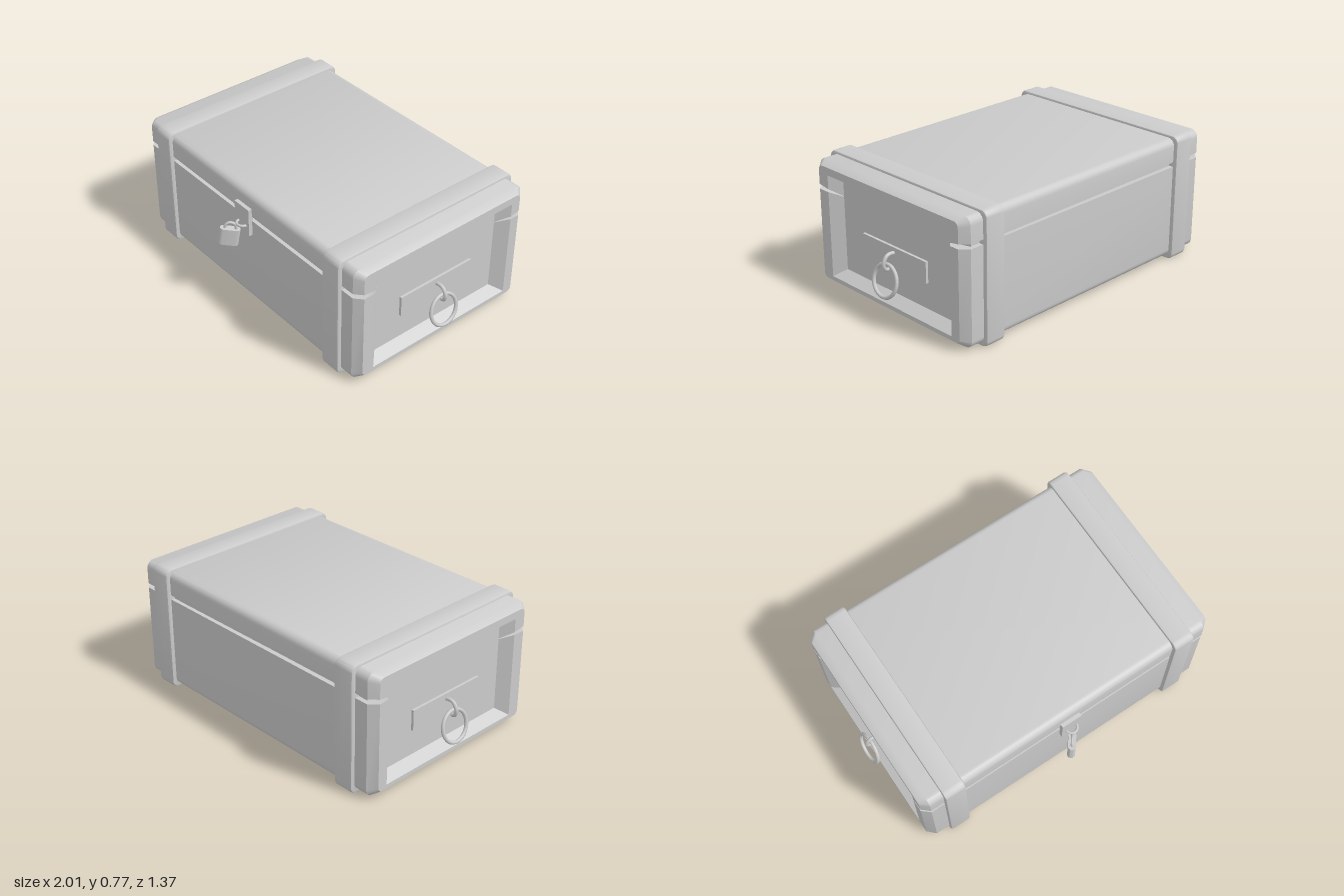
import * as THREE from 'three';
import { toCreasedNormals } from 'three/addons/utils/BufferGeometryUtils.js';

const grey = new THREE.MeshStandardMaterial({ color: 0xcccccc });
const greyTwoSided = new THREE.MeshStandardMaterial({ color: 0xcccccc, side: THREE.DoubleSide });
const ZC = -0.0575; // middle of the chest in z

// Rings of one end, from the recessed panel outwards to the long sides.
// front/back are z limits, low/high are y limits, sill/lidEdge are the seam heights.
const END_RINGS = [
  { x: 0.89, front: 0.37, back: -0.49, low: 0.12, high: 0.65, r: 0, sill: 0.56, lidEdge: 0.563 },
  { x: 0.95, front: 0.43, back: -0.555, low: 0.075, high: 0.685, r: 0, sill: 0.586, lidEdge: 0.604 },
  { x: 0.95, front: 0.505, back: -0.615, low: 0.05, high: 0.73, r: 0.03, sill: 0.586, lidEdge: 0.614 },
  { x: 0.905, front: 0.545, back: -0.66, low: 0.02, high: 0.755, r: 0.045, sill: 0.586, lidEdge: 0.614 },
];
const RINGS = [
  ...END_RINGS.map((s) => ({ ...s, x: -s.x })),
  ...[...END_RINGS].reverse(),
];

function add(parent, name, geometry, x = 0, y = 0, z = 0, material = grey) {
  const mesh = new THREE.Mesh(geometry, material);
  mesh.name = name;
  mesh.position.set(x, y, z);
  parent.add(mesh);
  return mesh;
}

// U-shaped section from the front seam, round the bottom (or top), to the back seam
function section(s, isLid) {
  const steps = 5;
  const seam = isLid ? s.lidEdge : s.sill;
  const edge = isLid ? s.high : s.low;
  const up = isLid ? -1 : 1;
  const points = [[s.front, seam]];
  for (let i = 0; i <= steps; i++) {
    const a = (i / steps) * Math.PI / 2;
    points.push([s.front - s.r * (1 - Math.cos(a)), edge + up * s.r * (1 - Math.sin(a))]);
  }
  for (let i = 0; i <= steps; i++) {
    const a = (i / steps) * Math.PI / 2;
    points.push([s.back + s.r * (1 - Math.sin(a)), edge + up * s.r * (1 - Math.cos(a))]);
  }
  points.push([s.back, seam]);
  return points;
}

// Half of the chest: sections joined along x, closed at the seam
function halfShell(isLid) {
  const positions = [];
  const index = [];
  const sections = RINGS.map((s) => section(s, isLid));
  const n = sections[0].length;
  sections.forEach((points, i) => points.forEach(([z, y]) => positions.push(RINGS[i].x, y, z)));
  const face = (a, b, c) => (isLid ? index.push(a, c, b) : index.push(a, b, c));
  for (let i = 0; i < RINGS.length - 1; i++) {
    for (let j = 0; j < n - 1; j++) {
      const a = i * n + j;
      face(a, a + 1, a + n);
      face(a + 1, a + n + 1, a + n);
    }
  }
  // seam surface, following the outline of the chest from above
  const outline = [
    ...RINGS.map((_, i) => i * n),
    ...RINGS.map((_, i) => i * n + n - 1).reverse(),
  ];
  const flat = outline.map((k) => new THREE.Vector2(positions[k * 3], positions[k * 3 + 2]));
  for (const [a, b, c] of THREE.ShapeUtils.triangulateShape(flat, [])) {
    const p = flat[a], q = flat[b], r = flat[c];
    const turn = (q.x - p.x) * (r.y - p.y) - (q.y - p.y) * (r.x - p.x);
    if (turn < 0) face(outline[a], outline[b], outline[c]);
    else face(outline[a], outline[c], outline[b]);
  }
  const geometry = new THREE.BufferGeometry();
  geometry.setAttribute('position', new THREE.Float32BufferAttribute(positions, 3));
  geometry.setIndex(index);
  return toCreasedNormals(geometry, 0.6);
}

function roundedRect(w, h, r) {
  const s = new THREE.Shape();
  const x = w / 2, y = h / 2;
  s.absarc(x - r, y - r, r, 0, Math.PI / 2);
  s.absarc(-x + r, y - r, r, Math.PI / 2, Math.PI);
  s.absarc(-x + r, -y + r, r, Math.PI, Math.PI * 1.5);
  s.absarc(x - r, -y + r, r, Math.PI * 1.5, Math.PI * 2);
  return s;
}

// Band that runs round the whole chest
function strapGeometry() {
  const bevel = 0.012, width = 0.13;
  const g = new THREE.ExtrudeGeometry(roundedRect(1.255 - 2 * bevel, 0.77 - 2 * bevel, 0.03), {
    depth: width - 2 * bevel, bevelSize: bevel, bevelThickness: bevel, bevelSegments: 2, curveSegments: 5,
  });
  g.translate(0, 0, -(width - 2 * bevel) / 2);
  g.rotateY(Math.PI / 2);
  return toCreasedNormals(g, 0.6);
}

// Plate, hook and hanging ring of one end (built for +x)
function createHandle() {
  const handle = new THREE.Group();
  handle.name = 'handle';
  add(handle, 'handlePlate', new THREE.BoxGeometry(0.02, 0.125, 0.515), 0.895, 0.3375, ZC);
  const hookPath = new THREE.CatmullRomCurve3([
    [0.89, 0.365], [0.935, 0.37], [0.958, 0.36], [0.977, 0.32], [0.965, 0.29], [0.945, 0.285],
  ].map(([x, y]) => new THREE.Vector3(x, y, ZC)));
  add(handle, 'handleHook', new THREE.TubeGeometry(hookPath, 16, 0.011, 8), 0, 0, 0, greyTwoSided);
  const ring = add(handle, 'handleRing', new THREE.TorusGeometry(0.092, 0.011, 8, 28), 0.97, 0.225, ZC);
  ring.rotation.set(0, Math.PI / 2, 0.24, 'ZYX');
  return handle;
}

function createLock() {
  const lock = new THREE.Group();
  lock.name = 'lock';
  add(lock, 'hasp', new THREE.BoxGeometry(0.125, 0.175, 0.03), 0, 0.578, 0.553);
  const staple = add(lock, 'staple', new THREE.TorusGeometry(0.034, 0.008, 8, 14, Math.PI), 0.002, 0.55, 0.565);
  staple.rotation.x = Math.PI / 2;

  // padlock hangs turned and slightly tilted
  const padlock = new THREE.Group();
  padlock.name = 'padlock';
  const body = new THREE.ExtrudeGeometry(roundedRect(0.115, 0.044, 0.0219), { depth: 0.105, bevelEnabled: false, curveSegments: 6 });
  body.translate(0, 0, -0.0525);
  body.rotateX(-Math.PI / 2);
  add(padlock, 'padlockBody', toCreasedNormals(body, 0.6));
  add(padlock, 'shackle', new THREE.TorusGeometry(0.031, 0.008, 8, 14, Math.PI), 0, 0.06, 0);
  for (const side of [-1, 1]) {
    add(padlock, 'shackleLeg', new THREE.CylinderGeometry(0.008, 0.008, 0.02, 8), side * 0.031, 0.052, 0);
  }
  padlock.position.set(-0.038, 0.468, 0.632);
  padlock.rotation.set(0, 0.92, -0.16, 'YZX');
  lock.add(padlock);
  return lock;
}

export function createModel() {
  const chest = new THREE.Group();
  chest.name = 'chest';

  add(chest, 'chestBody', halfShell(false));
  add(chest, 'lid', halfShell(true));
  // recessed end panels and the inner wall seen through the seam
  add(chest, 'endPanels', new THREE.BoxGeometry(1.78, 0.53, 0.86), 0, 0.385, -0.06);
  add(chest, 'seamWall', new THREE.BoxGeometry(1.76, 0.09, 1.15), 0, 0.6, ZC);

  const strap = strapGeometry();
  for (const side of [-1, 1]) {
    add(chest, side > 0 ? 'leftStrap' : 'rightStrap', strap, side * 0.755, 0.385, ZC);
    const handle = createHandle();
    if (side < 0) {
      handle.rotation.y = Math.PI;
      handle.position.z = 2 * ZC;
    }
    chest.add(handle);
  }
  chest.add(createLock());
  return chest;
}
